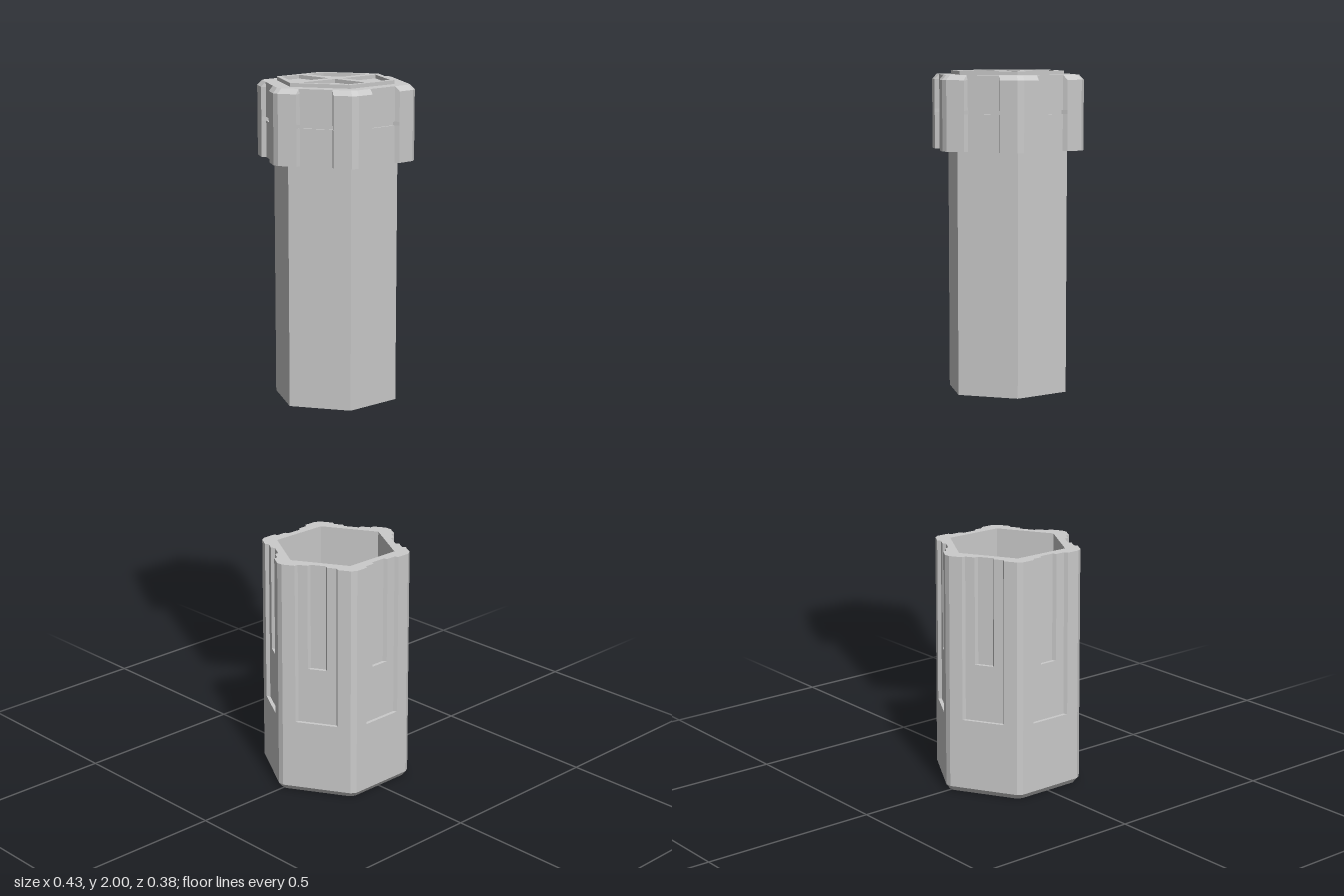
import * as THREE from 'three';

const material = new THREE.MeshStandardMaterial({ color: 0xcccccc, flatShading: true });
const APOTHEM = 0.191;
const HOLLOW = 0.15;

// Hexagon with corners on the x axis, as a list of plan points.
function hexagon(apothem) {
  const radius = apothem / Math.cos(Math.PI / 6);
  return Array.from({ length: 6 }, (_, i) => {
    const a = (i * Math.PI) / 3;
    return new THREE.Vector2(Math.cos(a) * radius, Math.sin(a) * radius);
  });
}

// Hexagon with cut corners; each notch [halfWidth, depth] is cut into the middle of all six sides,
// widest first, with slightly sloped notch walls.
function outline(notches = []) {
  const half = [[0.1, 0]];
  let depth = 0;
  for (const [width, cut] of notches) {
    half.push([width, depth], [width - 0.006, cut]);
    depth = cut;
  }
  const side = [...half, ...half.map(([u, d]) => [-u, d]).reverse()];
  const points = [];
  for (let i = 0; i < 6; i++) {
    const a = Math.PI / 6 + (i * Math.PI) / 3;
    for (const [u, d] of side) {
      const r = APOTHEM - d;
      points.push(new THREE.Vector2(
        r * Math.cos(a) + u * Math.sin(a),
        r * Math.sin(a) - u * Math.cos(a)
      ));
    }
  }
  return points;
}

// Vertical slab from y0 to y1; the rim at either end can be drawn in to a smaller apothem.
function slab(name, points, y0, y1, { holes = [], bottom = 1, top = 1 } = {}) {
  const shape = new THREE.Shape(points);
  for (const hole of holes) shape.holes.push(new THREE.Path(hole));
  const geometry = new THREE.ExtrudeGeometry(shape, { depth: y1 - y0, bevelEnabled: false });
  geometry.rotateX(-Math.PI / 2).translate(0, y0, 0);
  const p = geometry.attributes.position;
  for (let i = 0; i < p.count; i++) {
    const x = p.getX(i), z = p.getZ(i);
    const limit = p.getY(i) > (y0 + y1) / 2 ? top : bottom;
    const reach = Math.max(
      Math.abs(z),
      Math.abs(x) * Math.cos(Math.PI / 6) + Math.abs(z) * 0.5
    );
    if (reach > limit) p.setXYZ(i, (x * limit) / reach, p.getY(i), (z * limit) / reach);
  }
  geometry.computeVertexNormals();
  const mesh = new THREE.Mesh(geometry, material);
  mesh.name = name;
  return mesh;
}

function createCase() {
  const group = new THREE.Group();
  group.name = 'case';
  const holes = [hexagon(HOLLOW)];
  const panel = [0.062, 0.01];
  const groove = [0.028, 0.02];
  group.add(
    slab('footRing', outline(), 0, 0.015, { holes: [hexagon(0.152)], bottom: 0.18 }),
    slab('floor', outline(), 0.015, 0.03),
    slab('lowerWall', outline(), 0.03, 0.215, { holes }),
    slab('panelWall', outline([panel]), 0.215, 0.377, { holes }),
    slab('groovedWall', outline([panel, groove]), 0.377, 0.685, { holes })
  );
  return group;
}

function createLid() {
  const group = new THREE.Group();
  group.name = 'lid';

  // Plug that slides into the case
  const plug = new THREE.Mesh(new THREE.CylinderGeometry(0.172, 0.172, 0.67, 6), material);
  plug.rotation.y = Math.PI / 6;
  plug.position.y = 1.465;
  plug.name = 'plug';

  // Grip with a notch in each side, split by a thin seam
  const notch = outline([[0.05, 0.012]]);
  const seam = outline([[0.05, 0.018]]);
  group.add(
    plug,
    slab('lowerGrip', notch, 1.79, 1.888),
    slab('gripSeam', seam, 1.888, 1.898),
    slab('upperGrip', notch, 1.898, 1.977),
    slab('gripBevel', notch, 1.977, 1.99, { top: 0.179 })
  );

  // Raised top plate with four pockets around a cross
  const pockets = [];
  for (const sx of [-1, 1]) {
    for (const sz of [-1, 1]) {
      pockets.push([[0.013, 0.013], [0.138, 0.013], [0.077, 0.127], [0.013, 0.127]]
        .map(([x, z]) => new THREE.Vector2(x * sx, z * sz)));
    }
  }
  group.add(slab('topPlate', hexagon(0.141), 1.99, 2, { holes: pockets }));
  return group;
}

export function createModel() {
  const model = new THREE.Group();
  model.name = 'hexagonalContainer';
  model.add(createCase(), createLid());
  return model;
}
